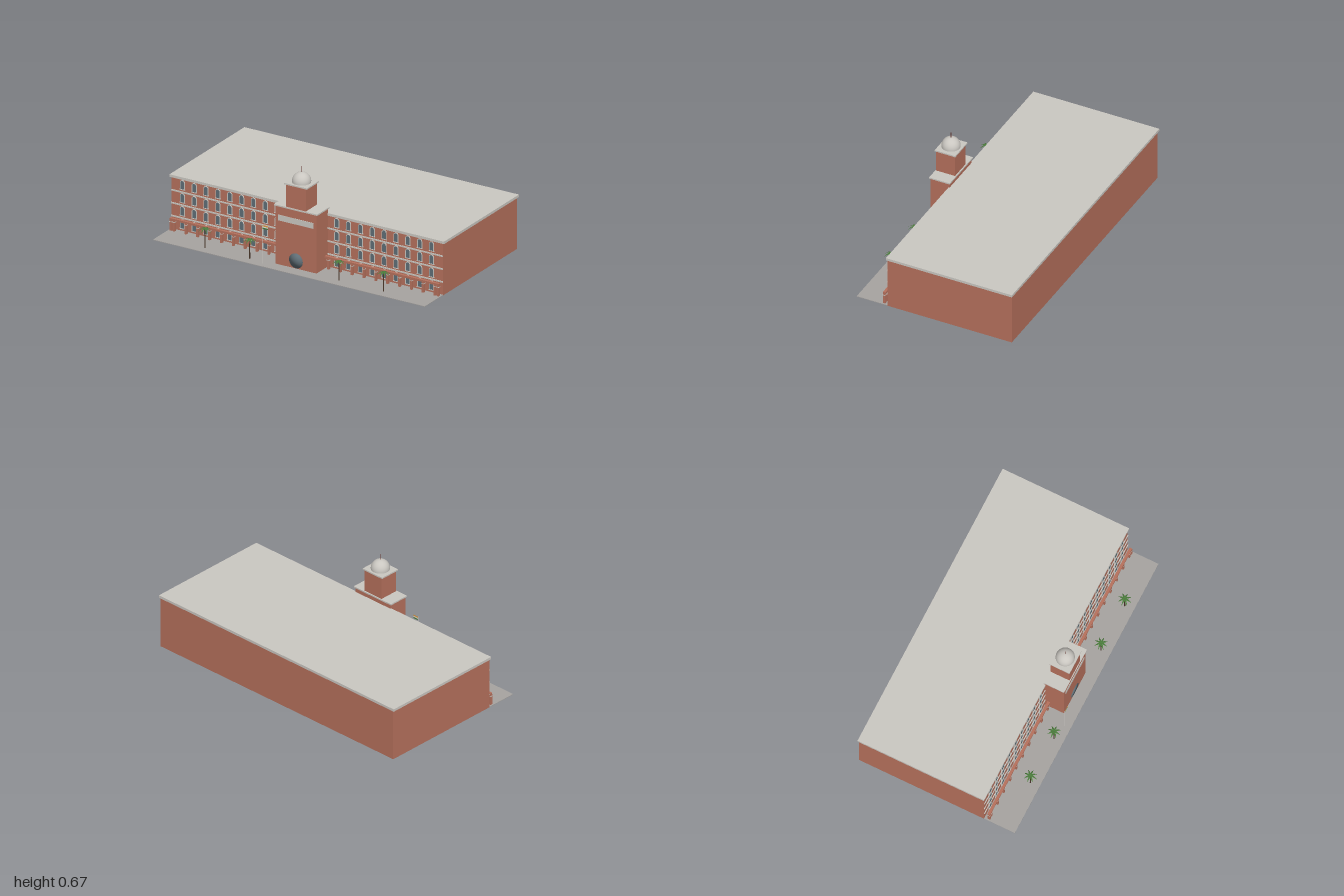
import * as THREE from 'three';

const mat = (name, color, side = THREE.FrontSide) => {
  const m = new THREE.MeshStandardMaterial({ color, side });
  m.name = name;
  return m;
};

export function createModel() {
  const root = new THREE.Group();
  root.name = 'brickHall';

  const brick = mat('brick', 0xb5705c);
  const stone = mat('paleStone', 0xcac7c1);
  const paving = mat('paving', 0xa6a3a0);
  const glass = mat('slateGlass', 0x5f6e76);
  const leaf = mat('palmGreen', 0x4b7d3c, THREE.DoubleSide);
  const trunkBrown = mat('trunkBrown', 0x4a3729);
  const mastRed = mat('mastRed', 0x6b3b35);
  const saffron = mat('saffron', 0xe09a40);
  const white = mat('white', 0xf2f2ee);

  const add = (name, geo, material, x = 0, y = 0, z = 0, parent = root) => {
    const m = new THREE.Mesh(geo, material);
    m.name = name;
    m.position.set(x, y, z);
    parent.add(m);
    return m;
  };
  // Box given by its limits on each axis
  const box = (name, material, x0, x1, y0, y1, z0, z1, parent = root) =>
    add(name, new THREE.BoxGeometry(x1 - x0, y1 - y0, z1 - z0), material,
      (x0 + x1) / 2, (y0 + y1) / 2, (z0 + z1) / 2, parent);

  // Main block, roof and forecourt
  box('mainBlock', brick, -0.99, 0.99, 0, 0.35, -0.535, 0.328);
  box('roofSlab', stone, -1, 1, 0.348, 0.365, -0.541, 0.333);
  box('forecourt', paving, -0.99, 0.99, 0, 0.004, 0.328, 0.541);

  // Entrance tower
  box('towerBase', brick, -0.15, 0.15, 0.001, 0.395, 0.326, 0.459);
  box('towerBaseCornice', stone, -0.158, 0.158, 0.394, 0.403, 0.321, 0.464);
  box('towerTop', brick, -0.072, 0.072, 0.4, 0.555, 0.328, 0.459);
  box('towerTopCornice', stone, -0.083, 0.083, 0.553, 0.562, 0.321, 0.464);
  box('namePlate', stone, -0.128, 0.128, 0.3, 0.338, 0.458, 0.462);
  add('domeDrum', new THREE.CylinderGeometry(0.059, 0.059, 0.008, 32), stone, 0, 0.566, 0.393);
  add('dome', new THREE.SphereGeometry(0.06, 32, 12, 0, Math.PI * 2, 0, Math.PI / 2), stone, 0, 0.569, 0.393);
  add('mast', new THREE.CylinderGeometry(0.002, 0.002, 0.04, 8), mastRed, 0, 0.647, 0.393);

  // Round entrance: a sphere pressed flat that keeps its rounded shading
  const door = new THREE.SphereGeometry(0.05, 32, 20);
  const dp = door.attributes.position;
  for (let i = 0; i < dp.count; i++) dp.setZ(i, dp.getZ(i) * 0.06);
  add('roundEntrance', door, glass, 0, 0.055, 0.459);

  // Arched window outline, measured from its sill
  const archPath = (path, w, h, y = 0) => {
    path.moveTo(-w, y);
    path.lineTo(w, y);
    path.lineTo(w, h - w);
    path.absarc(0, h - w, w, 0, Math.PI, false);
    path.lineTo(-w, y);
    return path;
  };
  const paneShape = archPath(new THREE.Shape(), 0.0135, 0.058);
  const frameShape = archPath(new THREE.Shape(), 0.0175, 0.062);
  frameShape.holes.push(archPath(new THREE.Path(), 0.0135, 0.058, 0.001));
  const opts = { bevelEnabled: false, curveSegments: 8 };
  const paneGeo = new THREE.ExtrudeGeometry(paneShape, { ...opts, depth: 0.003 });
  const frameGeo = new THREE.ExtrudeGeometry(frameShape, { ...opts, depth: 0.005 });
  const sillGeo = new THREE.BoxGeometry(0.04, 0.004, 0.007);

  // Both wings: windows, string courses and arcade
  for (const s of [1, -1]) {
    const wing = new THREE.Group();
    wing.name = s > 0 ? 'leftWing' : 'rightWing';
    root.add(wing);
    const span = (name, material, a, b, ...rest) =>
      box(name, material, Math.min(s * a, s * b), Math.max(s * a, s * b), ...rest, wing);

    for (let row = 0; row < 4; row++) {
      const y = 0.02 + row * 0.0875;
      for (let col = 0; col < 9; col++) {
        const x = s * (0.217 + col * 0.0863);
        add('windowPane', paneGeo, glass, x, y, 0.328, wing);
        add('windowFrame', frameGeo, stone, x, y, 0.328, wing);
        add('windowSill', sillGeo, stone, x, y - 0.001, 0.3305, wing);
      }
      if (row < 3) span('stringCourse', stone, 0.15, 0.99, 0.086 + row * 0.0865, 0.095 + row * 0.0865, 0.327, 0.333);
    }

    span('arcadeBeam', brick, 0.15, 0.98, 0.074, 0.087, 0.346, 0.364);
    for (let i = 0; i < 11; i++) {
      const x = Math.min(0.174 + i * 0.0863, 0.973);
      span('arcadePost', brick, x - 0.007, x + 0.007, 0.003, 0.076, 0.348, 0.365);
      span('postCapital', stone, x - 0.009, x + 0.009, 0.062, 0.066, 0.347, 0.366);
    }
  }

  // Palm frond: a narrow folded blade that arches out and droops
  const frondGeo = new THREE.PlaneGeometry(0.042, 0.011, 5, 2);
  const fp = frondGeo.attributes.position;
  for (let i = 0; i < fp.count; i++) {
    const t = fp.getX(i) / 0.042 + 0.5;
    const v = fp.getY(i) * (0.2 + 0.8 * Math.sin(Math.PI * Math.min(t + 0.1, 1)));
    fp.setXYZ(i, t * 0.042, 0.006 * Math.sin(t * 2.4) - 0.02 * t * t - Math.abs(v) * 0.4, v);
  }
  frondGeo.computeVertexNormals();
  const trunkGeo = new THREE.CylinderGeometry(0.0025, 0.004, 0.13, 8);
  for (const x of [-0.65, -0.325, 0.325, 0.65]) {
    const palm = new THREE.Group();
    palm.name = 'palm';
    palm.position.set(x, 0.003, 0.478);
    root.add(palm);
    add('palmTrunk', trunkGeo, trunkBrown, 0, 0.065, 0, palm);
    for (let i = 0; i < 8; i++) {
      add('palmFrond', frondGeo, leaf, 0, 0.13, 0, palm).rotation.y = i * Math.PI / 4;
    }
  }

  // Flagpole with a striped flag
  add('flagpole', new THREE.CylinderGeometry(0.0013, 0.0013, 0.26, 8), stone, -0.22, 0.134, 0.5);
  [leaf, white, saffron].forEach((m, i) =>
    box('flagStripe', m, -0.219, -0.179, 0.237 + i * 0.008, 0.245 + i * 0.008, 0.4995, 0.5005));

  return root;
}
